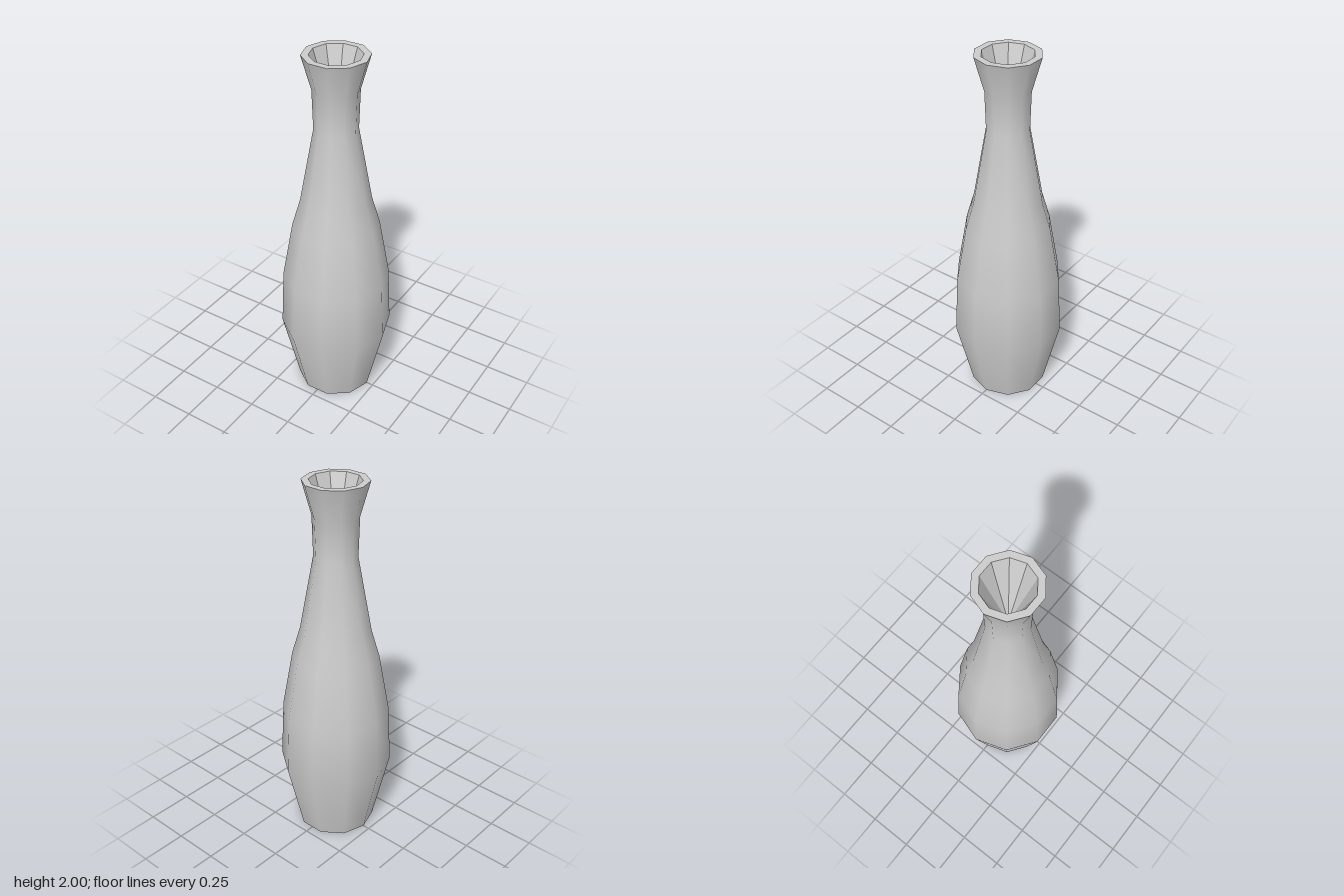
import * as THREE from 'three';

const SIDES = 10;

// Ten-sided surface of revolution with a corner on the +x axis
function lathe(name, profile, material) {
  const points = profile.map(([r, y]) => new THREE.Vector2(r, y));
  const mesh = new THREE.Mesh(new THREE.LatheGeometry(points, SIDES, Math.PI / 2), material);
  mesh.name = name;
  return mesh;
}

export function createModel() {
  const smooth = new THREE.MeshStandardMaterial({ color: 0xcccccc });
  const faceted = new THREE.MeshStandardMaterial({ color: 0xcccccc, flatShading: true });
  const vase = new THREE.Group();
  vase.name = 'vase';

  // Smooth outer wall from foot to flared lip
  vase.add(lathe('body', [
    [0.212, 0], [0.304, 0.4], [0.288, 0.73], [0.231, 1.05],
    [0.187, 1.2], [0.113, 1.61], [0.119, 1.82], [0.169, 2],
  ], smooth));

  // Flat base, lip ring and the faceted conical hollow in the mouth
  vase.add(lathe('base', [[0, 0], [0.212, 0]], faceted));
  vase.add(lathe('rim', [[0.169, 2], [0.132, 2]], faceted));
  vase.add(lathe('mouthHollow', [[0.132, 2], [0, 1.6]], faceted));

  return vase;
}
